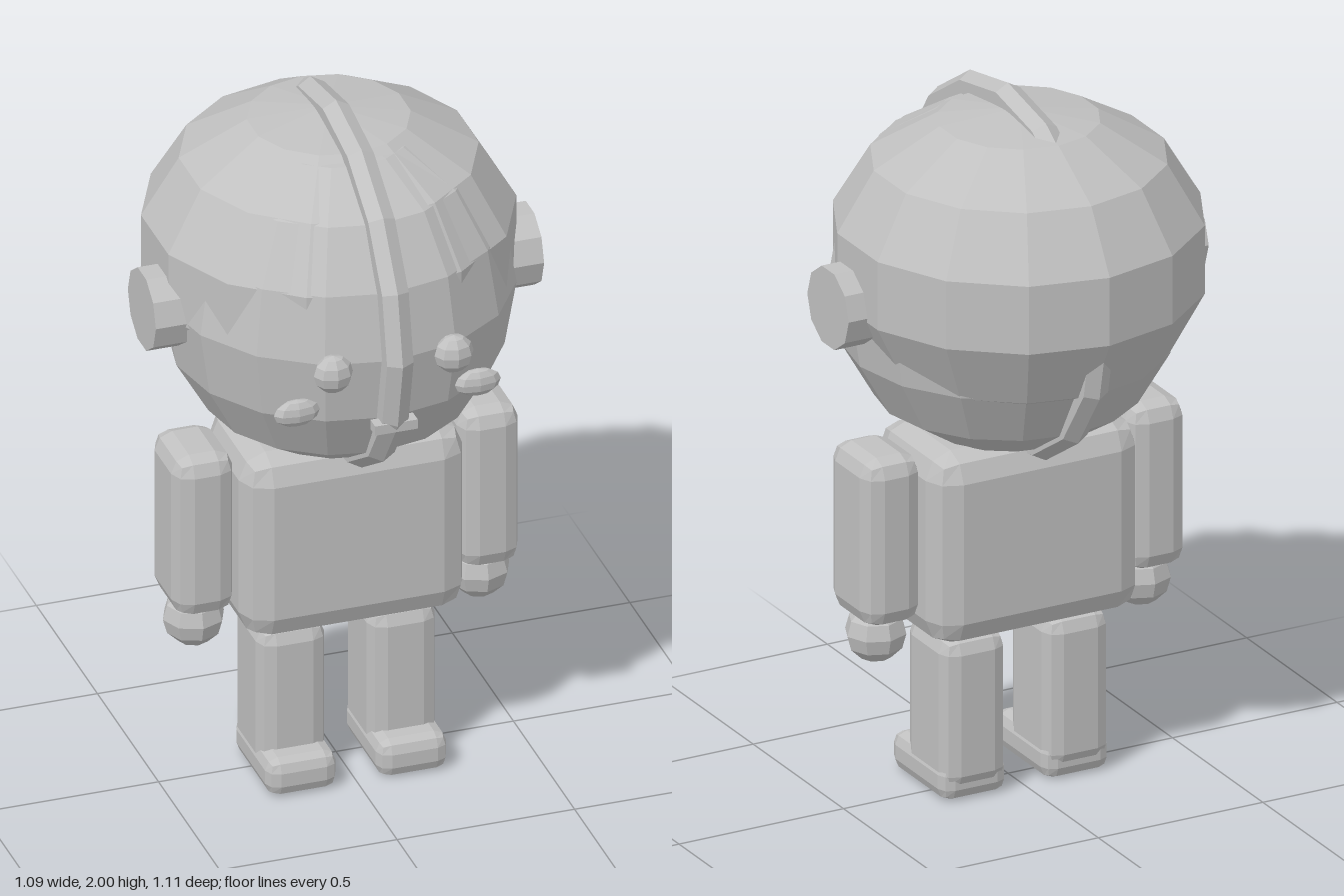
import * as THREE from 'three';
import { RoundedBoxGeometry } from 'three/addons/geometries/RoundedBoxGeometry.js';

export function createModel() {
  const root = new THREE.Group();
  root.name = 'figure';
  const grey = new THREE.MeshStandardMaterial({ color: 0xc0c0c0, flatShading: true });
  grey.name = 'grey';

  const add = (name, geometry, x, y, z, parent = root) => {
    const mesh = new THREE.Mesh(geometry, grey);
    mesh.name = name;
    mesh.position.set(x, y, z);
    parent.add(mesh);
    return mesh;
  };
  const block = (w, h, d, r) => new RoundedBoxGeometry(w, h, d, 1, r);
  const ball = (rx, ry, rz, a = 8, b = 6) => new THREE.SphereGeometry(1, a, b).scale(rx, ry, rz);
  const lathe = (points, n) => new THREE.LatheGeometry(points.map(p => new THREE.Vector2(...p)), n);

  // Head: an inner ball with a larger, flatter cap set back over it
  const head = new THREE.Group();
  head.name = 'head';
  root.add(head);
  add('face', lathe([
    [0, 0.985], [0.22, 1.025], [0.36, 1.115], [0.45, 1.27], [0.482, 1.46],
    [0.45, 1.65], [0.355, 1.81], [0.2, 1.905], [0, 1.935],
  ], 16), 0, 0, 0, head);
  add('cap', lathe([
    [0, 1.16], [0.22, 1.17], [0.405, 1.265], [0.503, 1.448], [0.503, 1.645],
    [0.402, 1.815], [0.22, 1.922], [0, 1.953],
  ], 14), 0, 0, -0.06, head);

  // Crest: a thin ring around the head, partly sunk into the cap
  const crest = new THREE.TorusGeometry(0.505, 0.043, 6, 16).rotateY(Math.PI / 2);
  add('crest', crest, 0, 1.4725, 0, head).scale.y = 0.963;
  add('mouth', new THREE.BoxGeometry(0.12, 0.028, 0.04), 0, 1.262, 0.475, head);

  // Torso
  add('torso', block(0.63, 0.555, 0.385, 0.075), 0, 0.752, 0);

  // Paired parts
  for (const [s, side] of [[1, 'left'], [-1, 'right']]) {
    const ear = new THREE.CylinderGeometry(0.115, 0.115, 0.16, 10).rotateZ(Math.PI / 2);
    add(side + 'Ear', ear, s * 0.467, 1.46, 0, head);
    add(side + 'Eye', ball(0.055, 0.055, 0.042), s * 0.17, 1.447, 0.472, head);
    add(side + 'Cheek', ball(0.065, 0.04, 0.025), s * 0.255, 1.315, 0.42, head);
    add(side + 'Arm', block(0.172, 0.485, 0.235, 0.05), s * 0.402, 0.787, 0);
    add(side + 'Hand', ball(0.086, 0.083, 0.083), s * 0.402, 0.495, 0);
    add(side + 'Leg', block(0.192, 0.44, 0.24, 0.045), s * 0.156, 0.25, 0);
    add(side + 'Foot', block(0.198, 0.11, 0.305, 0.035), s * 0.156, 0.055, 0.042);
  }
  return root;
}
